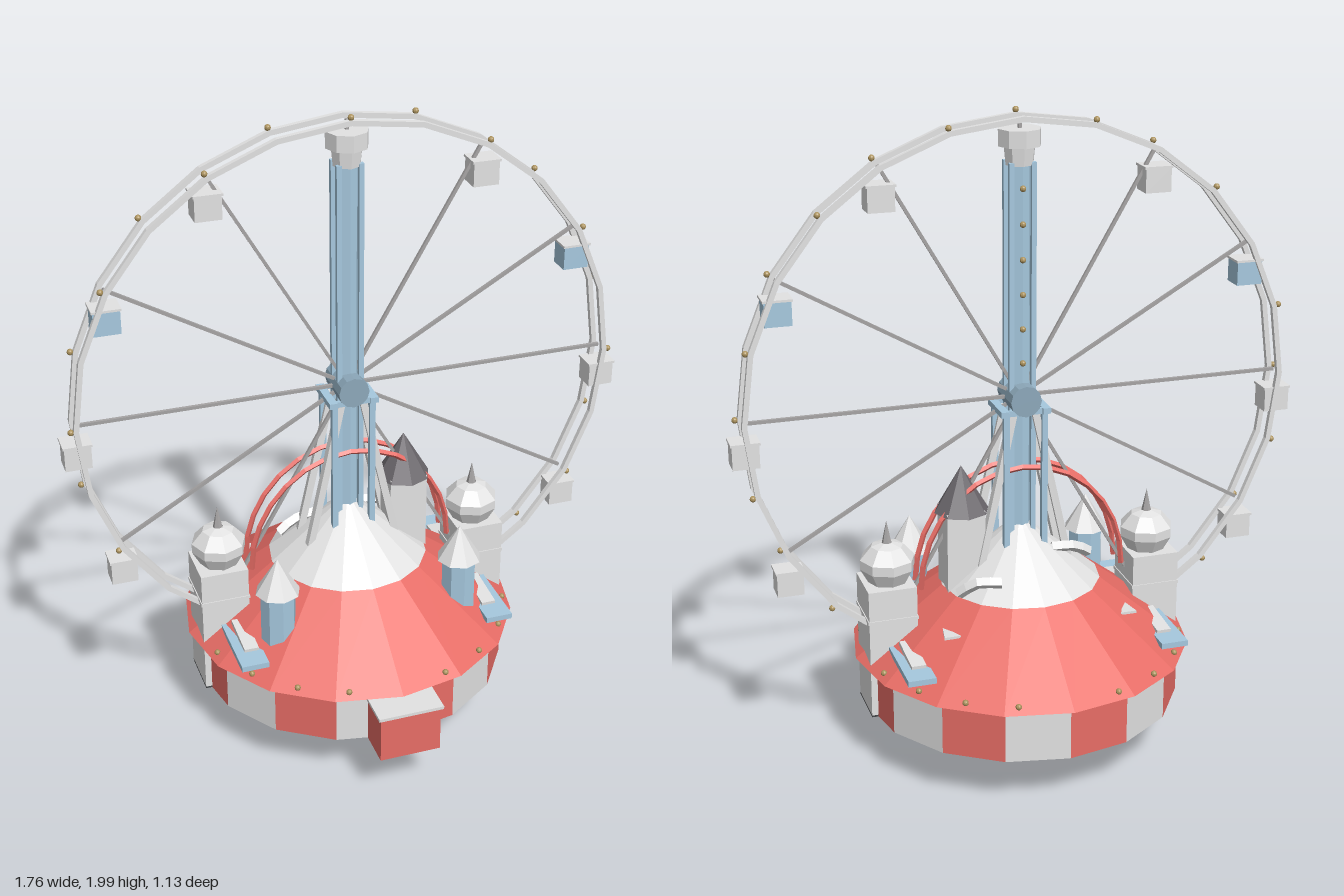
import * as THREE from 'three';

const mat = (name, color, double = false) => {
  const m = new THREE.MeshStandardMaterial({ color, flatShading: true, side: double ? THREE.DoubleSide : THREE.FrontSide });
  m.name = name;
  return m;
};

export function createModel() {
  const red = mat('canopy red', 0xe86d66, true);
  const white = mat('pale grey', 0xe2e2e2, true);
  const blue = mat('light blue', 0xa6c8de);
  const steel = mat('steel blue', 0x8ca8ba);
  const metal = mat('metal grey', 0xa6a4a4);
  const slate = mat('roof slate', 0x6e6a6f);
  const under = mat('underside black', 0x44474a);
  const amber = mat('bulb amber', 0xac935e);

  const root = new THREE.Group();
  root.name = 'fairgroundRide';
  // Everything turns about one vertical axis slightly behind the origin
  const ride = new THREE.Group();
  ride.name = 'ride';
  ride.position.z = -0.037;
  root.add(ride);

  const add = (name, geo, material, x = 0, y = 0, z = 0, parent = ride) => {
    const m = new THREE.Mesh(geo, material);
    m.name = name;
    m.position.set(x, y, z);
    parent.add(m);
    return m;
  };
  const box = (name, material, w, h, d, x, y, z, parent) => add(name, new THREE.BoxGeometry(w, h, d), material, x, y, z, parent);
  const cyl = (name, material, rTop, rBottom, y0, y1, sides, x = 0, z = 0) =>
    add(name, new THREE.CylinderGeometry(rTop, rBottom, y1 - y0, sides), material, x, (y0 + y1) / 2, z);
  const lathe = (points, sides) => new THREE.LatheGeometry(points.map(p => new THREE.Vector2(...p)), sides);
  // Square bar between two points
  const bar = (name, material, a, b, width, parent) => {
    const p = new THREE.Vector3(...a), q = new THREE.Vector3(...b);
    const m = box(name, material, width, p.distanceTo(q), width, 0, 0, 0, parent);
    m.position.copy(p).add(q).multiplyScalar(0.5);
    m.quaternion.setFromUnitVectors(new THREE.Vector3(0, 1, 0), q.sub(p).normalize());
    return m;
  };
  const bulbGeo = new THREE.SphereGeometry(0.0095, 10, 8);

  // Drum with alternating panels, open below
  const drumGeo = new THREE.CylinderGeometry(0.495, 0.495, 0.17, 16, 1, true);
  drumGeo.clearGroups();
  for (let i = 0; i < 16; i++) drumGeo.addGroup(i * 6, 6, i % 2);
  add('drum', drumGeo, [red, white], 0, 0.257, 0);

  // Canopy and its pale cap
  add('canopy', new THREE.CylinderGeometry(0.25, 0.527, 0.21, 16, 1, true), red, 0, 0.445, 0);
  add('canopyCap', new THREE.CylinderGeometry(0.04, 0.25, 0.17, 16, 1, true), white, 0, 0.635, 0);
  cyl('canopyTip', white, 0.03, 0.04, 0.72, 0.73, 16);
  for (let i = 0; i < 20; i++) {
    if (i % 5 === 0) continue;
    const a = i * Math.PI / 10;
    add('canopyBulb', bulbGeo, amber, 0.5 * Math.sin(a), 0.358, 0.5 * Math.cos(a));
  }

  // Rounded base under a dark floor
  add('baseBowl', lathe([[0, 0.008], [0.13, 0.03], [0.23, 0.1], [0.285, 0.19]], 12), steel);
  box('floor', under, 0.66, 0.02, 0.66, 0, 0.19, 0);

  // Ticket booth at the front
  box('booth', red, 0.19, 0.15, 0.15, 0, 0.247, 0.518);
  box('boothRoof', white, 0.205, 0.01, 0.16, 0, 0.327, 0.52);

  // Wheel: two rims, spokes, bulbs and cabins
  const wheel = new THREE.Group();
  wheel.name = 'wheel';
  wheel.position.y = 1.14;
  ride.add(wheel);
  const rimGeo = lathe([[0.828, -0.008], [0.844, -0.008], [0.844, 0.008], [0.828, 0.008], [0.828, -0.008]], 24);
  for (const z of [-0.037, 0.037]) add('rim', rimGeo, white, 0, 0, z, wheel).rotation.x = Math.PI / 2;
  for (let i = 0; i < 24; i++) {
    const a = i * Math.PI / 12;
    add('rimBulb', bulbGeo, amber, 0.851 * Math.cos(a), 0.851 * Math.sin(a), i % 2 ? -0.037 : 0.037, wheel);
  }
  for (let i = 0; i < 12; i++) {
    const a = i * Math.PI / 6, x = 0.835 * Math.cos(a), y = 0.835 * Math.sin(a);
    bar('spoke', metal, [0, 0, 0], [x, y, 0], 0.01, wheel);
    if (i === 3 || (i > 7 && i < 11)) continue;
    const paint = i === 1 || i === 5 ? blue : white;
    box('cabin', paint, 0.08, 0.072, 0.07, x, y - 0.092, 0, wheel);
    box('cabinRoof', white, 0.088, 0.007, 0.076, x, y - 0.053, 0, wheel);
  }
  const hub = add('hub', new THREE.CylinderGeometry(0.048, 0.048, 0.14, 12), steel, 0, 0, 0, wheel);
  hub.rotation.x = Math.PI / 2;

  // Central mast with corner rails, bulbs up the back, and crown
  cyl('mast', blue, 0.032, 0.032, 0.6, 1.85, 8);
  for (const x of [-0.034, 0.034]) for (const z of [-0.027, 0.027])
    box('mastRail', blue, 0.015, 1.25, 0.015, x, 1.225, z);
  for (let i = 0; i < 6; i++) add('mastBulb', bulbGeo, amber, 0, 1.25 + i * 0.105, -0.033);
  cyl('crownNeck', white, 0.048, 0.042, 1.84, 1.9, 8);
  cyl('crown', white, 0.065, 0.065, 1.895, 1.945, 8);

  // Wheel supports
  for (const s of [-1, 1]) {
    for (const t of [-1, 1]) {
      box('supportPost', blue, 0.018, 0.44, 0.018, s * 0.06, 0.89, t * 0.058);
      bar('supportLeg', white, [s * 0.035, 1.1, t * 0.045], [s * 0.14, 0.62, t * 0.05], 0.022);
    }
    box('supportBeam', blue, 0.025, 0.018, 0.14, s * 0.065, 1.105, 0);
  }
  for (const t of [-1, 1]) box('supportCrossbar', blue, 0.15, 0.018, 0.012, 0, 1.105, t * 0.058);

  // Looping coaster track
  for (const z of [-0.035, 0.035]) {
    const pts = [];
    for (let i = 0; i <= 12; i++) {
      const a = Math.PI * i / 12;
      pts.push(new THREE.Vector3(0.325 * Math.cos(a), 0.56 + 0.36 * Math.sin(a), z));
    }
    add('coasterRail', new THREE.TubeGeometry(new THREE.CatmullRomCurve3(pts), 14, 0.009, 4), red);
  }

  for (const s of [-1, 1]) {
    // Domed side tower on a dark base plate
    box('sideTower', white, 0.15, 0.412, 0.16, s * 0.424, 0.384, 0);
    box('towerBase', under, 0.15, 0.006, 0.16, s * 0.424, 0.175, 0);
    box('towerLedge', white, 0.156, 0.01, 0.166, s * 0.424, 0.49, 0);
    add('towerDome', lathe([[0.055, 0.58], [0.085, 0.635], [0.085, 0.665], [0.05, 0.705], [0.016, 0.715]], 8), white, s * 0.42);
    cyl('towerSpire', metal, 0, 0.016, 0.71, 0.785, 6, s * 0.42);

    // Front turret
    cyl('turret', blue, 0.055, 0.055, 0.4, 0.595, 8, s * 0.295, 0.215);
    cyl('turretRoof', white, 0, 0.07, 0.585, 0.7, 8, s * 0.295, 0.215);

    // Side platforms, one towards the front and one towards the back
    for (const t of [-1, 1]) {
      box('platform', blue, 0.085, 0.018, 0.235, s * 0.398, 0.395, t * 0.198);
      const slab = box('platformRamp', white, 0.045, 0.016, 0.15, s * 0.39, 0.412, t * 0.17);
      slab.rotation.x = t * 0.08;
    }

    // Small fin on the back of the canopy
    const fin = new THREE.Shape([[-0.025, 0.04], [0.025, 0.04], [s * 0.01, -0.04]].map(p => new THREE.Vector2(...p)));
    const finMesh = add('canopyFin', new THREE.ExtrudeGeometry(fin, { depth: 0.008, bevelEnabled: false }), white, s * 0.28, 0.475, -0.185);
    finMesh.rotation.x = -Math.PI / 2;
  }

  // Tall keep with dark pointed roof
  box('keep', white, 0.12, 0.29, 0.11, 0.185, 0.655, 0);
  cyl('keepRoof', slate, 0, 0.085, 0.79, 0.935, 8, 0.185);

  // Curved slide pieces on the cap
  const slide = (...pts) => add('slide',
    new THREE.TubeGeometry(new THREE.CatmullRomCurve3(pts.map(p => new THREE.Vector3(...p))), 4, 0.018, 4), white);
  slide([0.11, 0.61, -0.17], [0.18, 0.61, -0.15], [0.23, 0.57, -0.12]);
  slide([-0.21, 0.62, -0.05], [-0.16, 0.65, -0.06], [-0.08, 0.66, -0.07]);

  return root;
}
